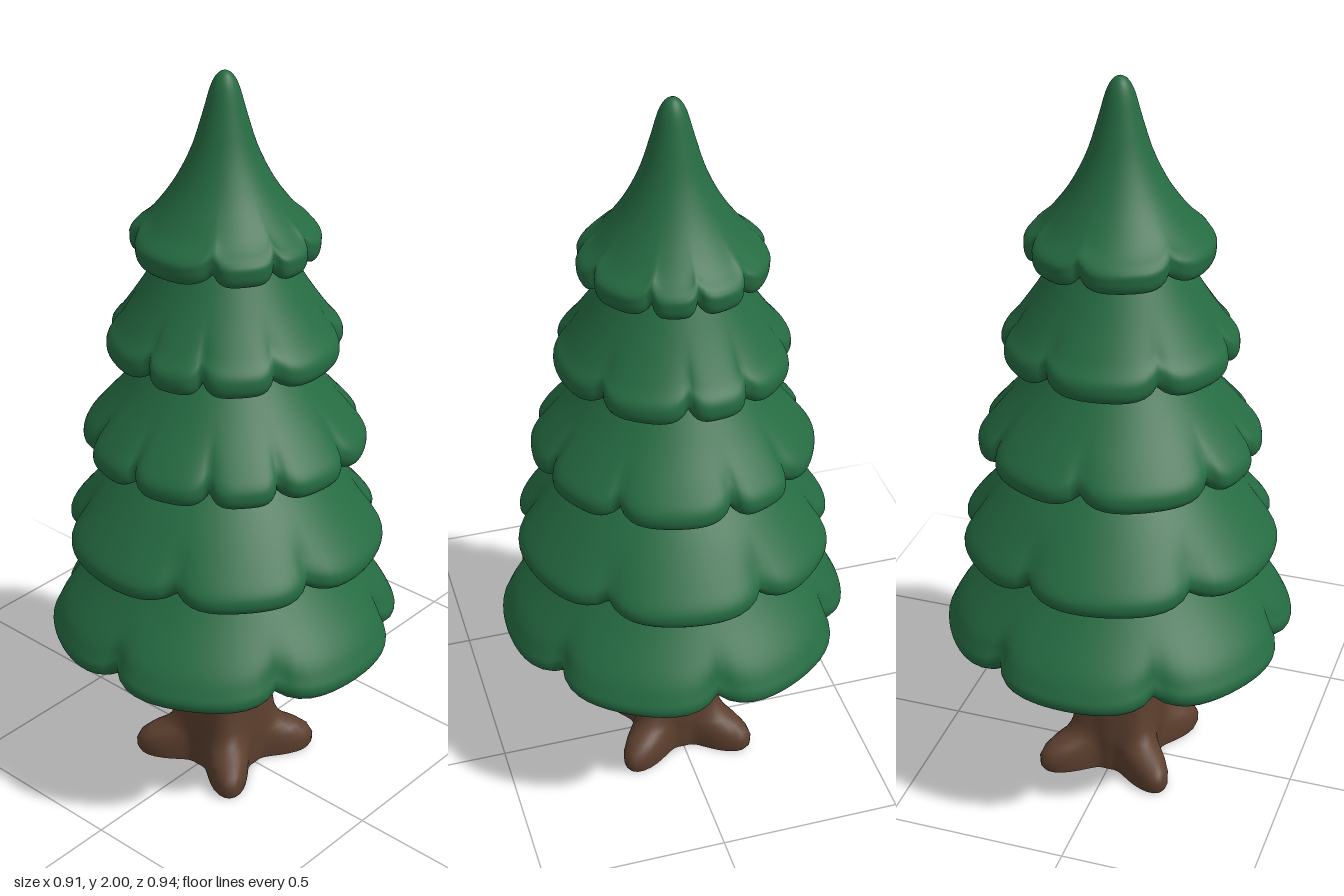
import * as THREE from 'three';

const foliageGreen = new THREE.MeshStandardMaterial({ color: 0x256b42 });
foliageGreen.name = 'foliageGreen';
const barkBrown = new THREE.MeshStandardMaterial({ color: 0x5c3f2e });
barkBrown.name = 'barkBrown';

// Skin of stacked closed rings, listed from the bottom up; point(i, j) gives [radius, angle, y]
function ringSkin(rings, segments, point) {
  const pos = [], index = [];
  for (let i = 0; i < rings; i++) {
    for (let j = 0; j < segments; j++) {
      const [r, a, y] = point(i, j);
      pos.push(r * Math.cos(a), y, r * Math.sin(a));
      if (i === rings - 1) continue;
      const k = (j + 1) % segments;
      const p = i * segments + j, q = i * segments + k;
      index.push(p, p + segments, q, q, p + segments, q + segments);
    }
  }
  const geo = new THREE.BufferGeometry();
  geo.setAttribute('position', new THREE.Float32BufferAttribute(pos, 3));
  geo.setIndex(index);
  geo.computeVertexNormals();
  return geo;
}

// Skirt of branches: smooth profile, scalloped at the rim between the notch angles (degrees)
function branchTier({ radius, y, slope, notches }) {
  const v = (x, h) => new THREE.Vector2(x, h);
  const under = [v(0.05, y + 0.035), v(radius * 0.5, y + 0.025), v(radius * 0.8, y + 0.008)];
  const lip = [v(radius * 0.93, y), v(radius * 0.985, y + 0.013), v(radius, y + 0.035), v(radius * 0.98, y + 0.06)];
  const curve = new THREE.SplineCurve([...under, ...lip, ...slope.map(([x, h]) => v(x, h))]);
  const profile = curve.getPoints(44);

  // Angles sampled lobe by lobe, so that each notch falls on a vertex
  const per = 16, columns = [];
  notches.forEach((start, n) => {
    const end = n + 1 < notches.length ? notches[n + 1] : notches[0] + 360;
    for (let s = 0; s < per; s++) {
      const t = s / per;
      columns.push({
        angle: THREE.MathUtils.degToRad(start + (end - start) * t),
        notch: Math.pow(Math.abs(2 * t - 1), 4.5),
      });
    }
  });
  return ringSkin(profile.length, columns.length, (i, j) => {
    const p = profile[i], { angle, notch } = columns[j];
    const fade = 1 - THREE.MathUtils.smoothstep(p.y, y + 0.05, y + 0.2);
    const weight = fade * THREE.MathUtils.smoothstep(p.x, 0.03, radius * 0.8) * notch;
    return [Math.max(p.x, 0) * (1 - 0.1 * weight), angle, p.y + 0.025 * weight];
  });
}

const tiers = [
  { name: 'bottomBranches', radius: 0.47, y: 0.44,
    slope: [[0.43, 0.55], [0.35, 0.64], [0.28, 0.73], [0.2, 0.86]],
    notches: [0, 60, 120, 180, 240, 300] },
  { name: 'lowerBranches', radius: 0.425, y: 0.715,
    slope: [[0.38, 0.82], [0.31, 0.9], [0.22, 1.0], [0.15, 1.12]],
    notches: [-20, 42, 105, 157, 224, 290] },
  { name: 'middleBranches', radius: 0.37, y: 0.99,
    slope: [[0.33, 1.09], [0.26, 1.17], [0.185, 1.27], [0.12, 1.38]],
    notches: [-10, 40, 79, 115, 145, 180, 211, 270, 320] },
  { name: 'upperBranches', radius: 0.305, y: 1.265,
    slope: [[0.27, 1.36], [0.215, 1.44], [0.155, 1.54], [0.09, 1.65]],
    notches: [8, 55, 112, 150, 180, 232, 294, 336] },
  { name: 'treetop', radius: 0.24, y: 1.53,
    slope: [[0.19, 1.63], [0.13, 1.71], [0.084, 1.8], [0.055, 1.89], [0.035, 1.96], [0.018, 1.99], [0, 2]],
    notches: [0, 30, 75, 105, 146, 218, 280, 325] },
];

// Trunk flaring into four diagonal roots; rows are [height, core radius, root reach]
function trunk() {
  const rows = [
    [0, 0, 0], [0, 0.115, 0.125], [0, 0.115, 0.125], [0.015, 0.117, 0.132], [0.04, 0.118, 0.132],
    [0.062, 0.118, 0.12], [0.08, 0.119, 0.092], [0.092, 0.12, 0.06], [0.11, 0.121, 0.034],
    [0.14, 0.12, 0.02], [0.2, 0.117, 0.014], [0.32, 0.112, 0.011], [0.5, 0.106, 0.01],
  ];
  const segments = 96;
  return ringSkin(rows.length, segments, (i, j) => {
    const [y, core, reach] = rows[i];
    const a = (j / segments) * Math.PI * 2;
    const root = Math.pow(Math.sin(2 * a), 4);
    return [core + reach * root, a, y];
  });
}

export function createModel() {
  const tree = new THREE.Group();
  tree.name = 'pineTree';
  const add = (name, geometry, material) => {
    const mesh = new THREE.Mesh(geometry, material);
    mesh.name = name;
    tree.add(mesh);
  };
  add('trunkWithRoots', trunk(), barkBrown);
  for (const tier of tiers) add(tier.name, branchTier(tier), foliageGreen);
  return tree;
}
